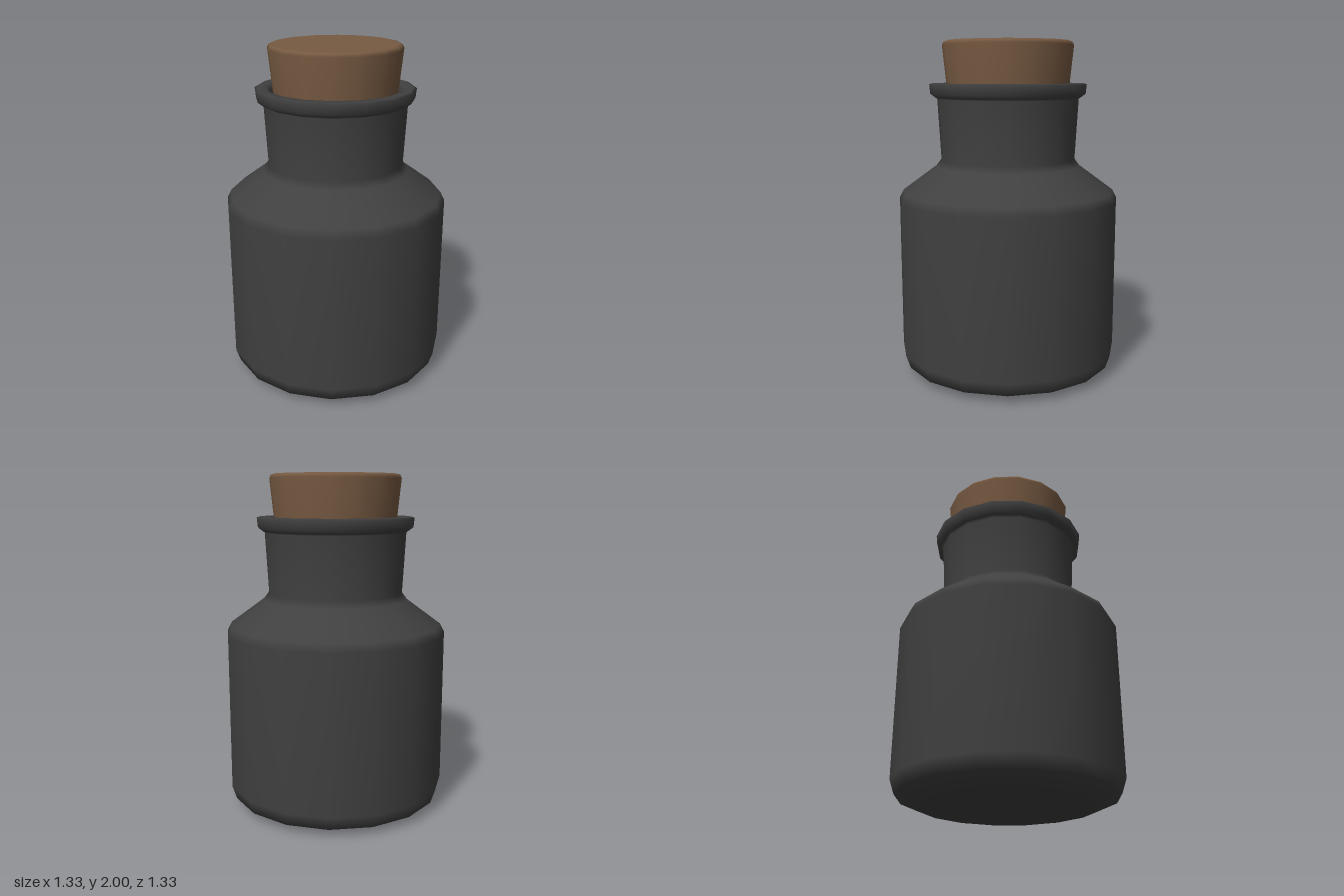
import * as THREE from 'three';

const SIDES = 16;

// Smooth low-poly turned part from a profile of [radius, height] points
function turned(name, profile, material) {
  const points = profile.map(([r, y]) => new THREE.Vector2(r, y));
  const mesh = new THREE.Mesh(new THREE.LatheGeometry(points, SIDES), material);
  mesh.name = name;
  return mesh;
}

export function createModel() {
  const darkGlass = new THREE.MeshStandardMaterial({ color: 0x404040 });
  darkGlass.name = 'darkGlass';
  const corkBrown = new THREE.MeshStandardMaterial({ color: 0x775a42 });
  corkBrown.name = 'corkBrown';

  const model = new THREE.Group();
  model.name = 'corkedBottle';

  // Bottle: base, straight body, sloped shoulder, flared neck, rolled lip, inner throat
  model.add(turned('bottle', [
    [0, 0], [0.5, 0], [0.53, 0.004], [0.638, 0.05], [0.665, 0.13],
    [0.665, 1.06], [0.64, 1.11], [0.435, 1.26], [0.405, 1.3],
    [0.425, 1.66], [0.44, 1.67], [0.466, 1.69], [0.472, 1.745],
    [0.455, 1.752], [0.405, 1.752], [0.385, 1.73], [0.365, 1.66], [0.34, 1.4],
  ], darkGlass));

  // Tapered cork with a softened top edge
  model.add(turned('cork', [
    [0, 1.5], [0.345, 1.5], [0.368, 1.74], [0.392, 1.975],
    [0.383, 1.995], [0.365, 2], [0, 2],
  ], corkBrown));

  return model;
}
